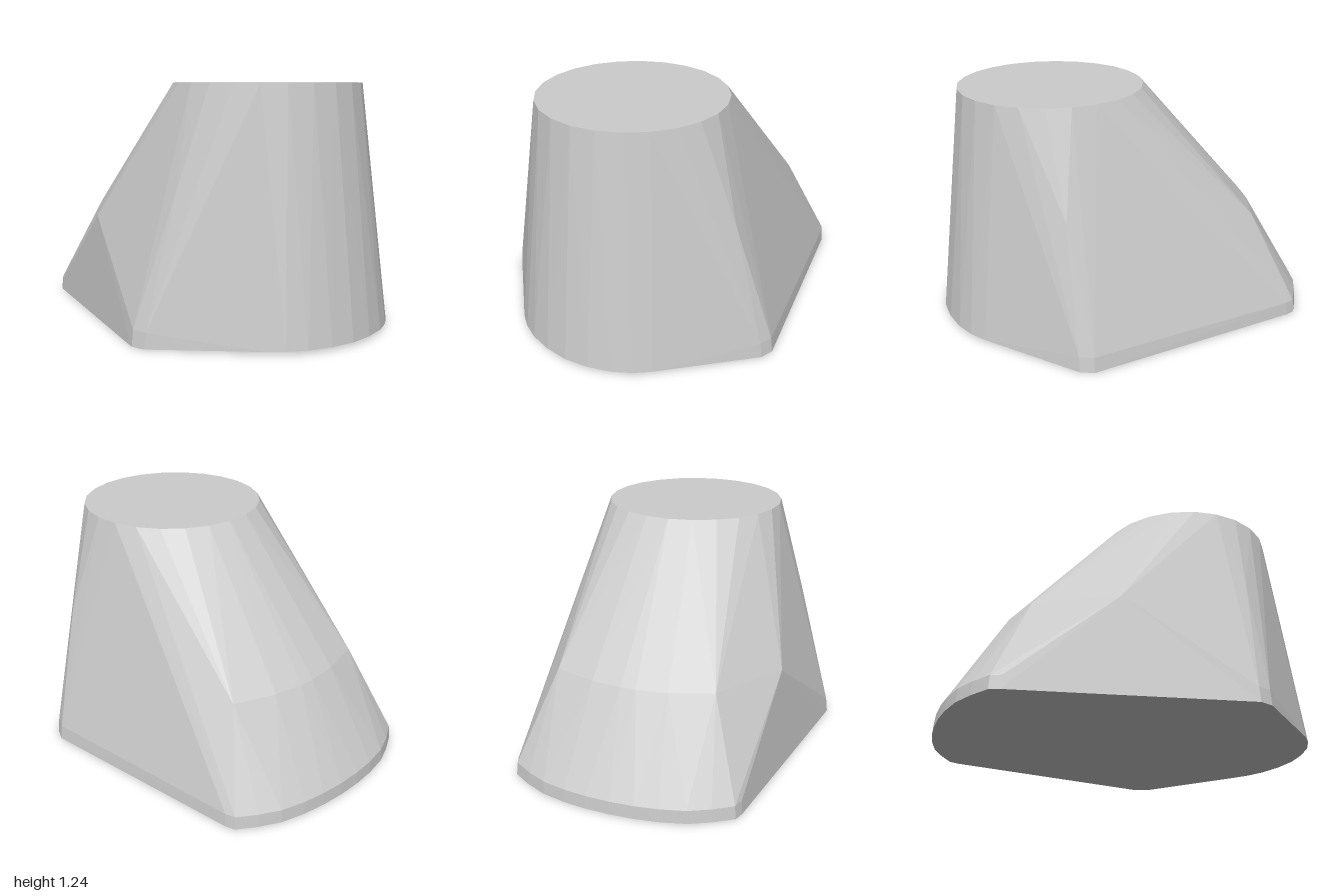
import * as THREE from 'three';
import { ConvexGeometry } from 'three/addons/geometries/ConvexGeometry.js';

export function createModel() {
  const group = new THREE.Group();
  const points = [];
  const add = (x, y, z) => points.push(new THREE.Vector3(x, y, z));
  const mirrored = (x, y, z) => { add(x, y, z); if (z) add(x, y, -z); };

  // Round flat top, offset to one side
  for (let i = 0; i < 24; i++) {
    const a = (i / 24) * Math.PI * 2;
    add(0.365 + 0.485 * Math.cos(a), 1.24, 0.487 * Math.sin(a));
  }

  // Curved low end of the base with a short upright rim
  for (const [x, z] of [[-1, 0], [-0.995, 0.13], [-0.98, 0.25], [-0.95, 0.38], [-0.9, 0.49], [-0.84, 0.59], [-0.79, 0.61]]) {
    mirrored(x, 0, z);
    mirrored(x + 0.005, 0.07, z * 0.99);
  }

  // Blunted side corners
  for (const [x, z] of [[0.36, 0.84], [0.43, 0.815]]) {
    mirrored(x, 0, z);
    mirrored(x, 0.08, z - 0.01);
  }

  // Round high end of the base, slightly raised
  for (const [x, z] of [[1, 0], [0.985, 0.13], [0.95, 0.25], [0.9, 0.345], [0.84, 0.42]]) mirrored(x, 0.015, z);

  // Shoulder ridge on the long slope
  for (const [x, z] of [[-0.72, 0.04], [-0.7, 0.2], [-0.63, 0.42]]) mirrored(x, 0.545, z);

  // Side shoulders
  add(-0.25, 0.53, 0.665);
  add(0.44, 0.72, 0.635);
  add(0.44, 0.72, -0.647);

  const body = new THREE.Mesh(
    new ConvexGeometry(points),
    new THREE.MeshStandardMaterial({ color: 0xcccccc, flatShading: true })
  );
  body.name = 'taperedBody';
  group.add(body);
  return group;
}
